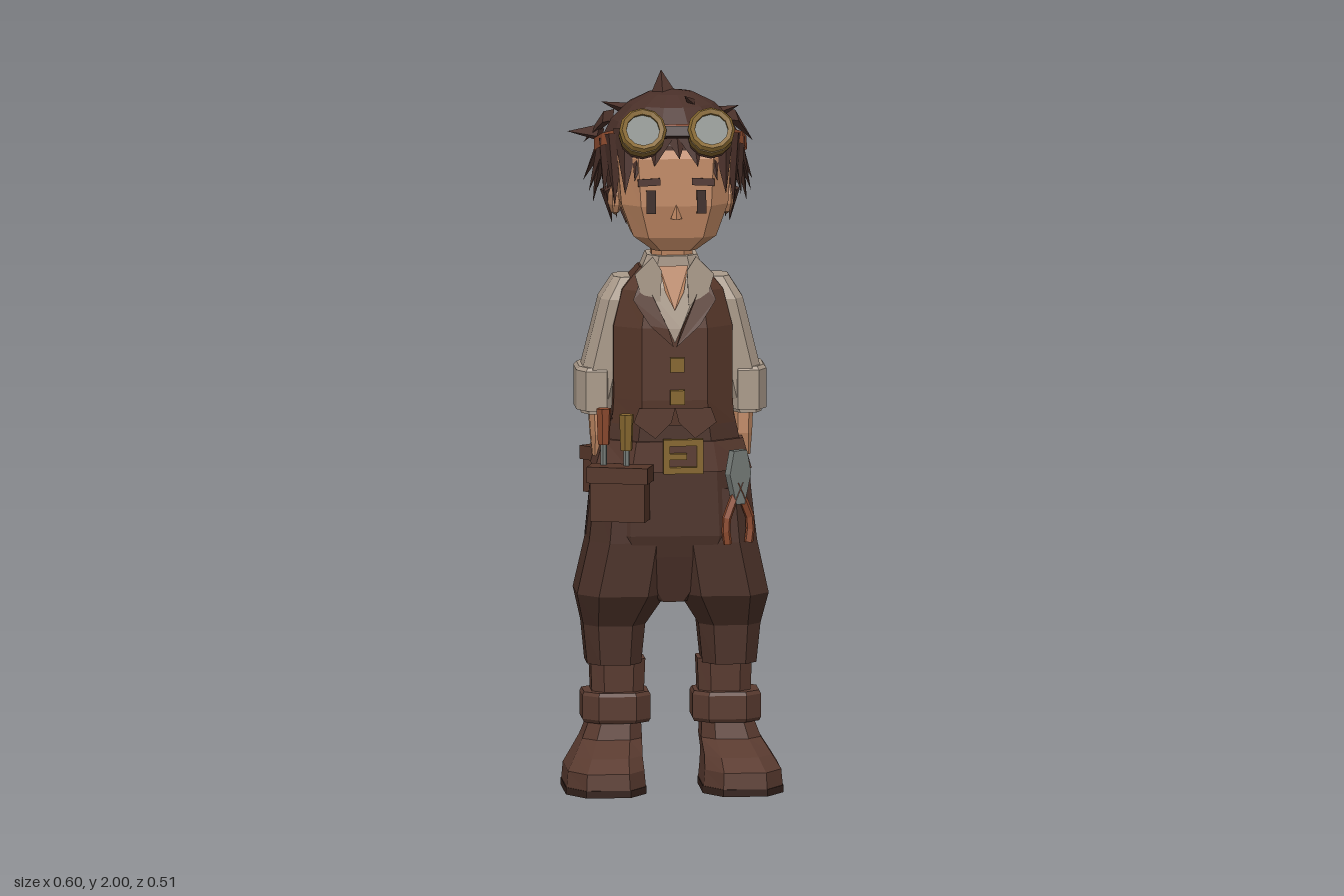
import * as THREE from 'three';

const mat = (name, color, side = THREE.FrontSide) => {
  const m = new THREE.MeshStandardMaterial({ color, flatShading: true, side });
  m.name = name;
  return m;
};

export function createModel() {
  const M = {
    hair: mat('hair brown', 0x4a3029, THREE.DoubleSide),
    skin: mat('skin', 0xb9835f),
    shirt: mat('linen', 0xab9b8b, THREE.DoubleSide),
    vest: mat('vest brown', 0x553629, THREE.DoubleSide),
    pants: mat('trouser brown', 0x4c3229),
    boot: mat('boot leather', 0x5a3b30),
    rust: mat('rust leather', 0x8c4a2e, THREE.DoubleSide),
    brass: mat('brass', 0x86672f),
    steel: mat('steel', 0x777d79),
    dark: mat('dark leather', 0x35221c),
  };
  const model = new THREE.Group();
  const V = (x, y, z) => new THREE.Vector3(x, y, z);

  const add = (name, geo, m, pos = [0, 0, 0], rot = [0, 0, 0], parent = model) => {
    const mesh = new THREE.Mesh(geo, m);
    mesh.name = name;
    mesh.position.set(...pos);
    mesh.rotation.set(...rot);
    parent.add(mesh);
    return mesh;
  };
  const box = (name, size, m, pos, rot, parent) => add(name, new THREE.BoxGeometry(...size), m, pos, rot, parent);
  const cyl = (name, r1, r2, h, n, m, pos, rot, parent) => add(name, new THREE.CylinderGeometry(r1, r2, h, n), m, pos, rot, parent);

  // Chamfered eight-sided loft; each ring is [y, centreX, centreZ, halfWidth, halfDepth]
  const loft = (name, rings, m, s = 1, k = 0.55) => {
    const oct = [[1, -k], [1, k], [k, 1], [-k, 1], [-1, k], [-1, -k], [-k, -1], [k, -1]];
    const p = [], idx = [], last = rings.length - 1;
    for (const [y, cx, cz, w, d] of rings) for (const [u, v] of oct) p.push(s * cx + u * w, y, cz + v * d);
    for (let r = 0; r < last; r++) for (let i = 0; i < 8; i++) {
      const a = r * 8 + i, b = r * 8 + (i + 1) % 8;
      idx.push(a, a + 8, b + 8, a, b + 8, b);
    }
    for (let i = 1; i < 7; i++) idx.push(0, i, i + 1, last * 8, last * 8 + i + 1, last * 8 + i);
    const g = new THREE.BufferGeometry();
    g.setAttribute('position', new THREE.Float32BufferAttribute(p, 3));
    g.setIndex(idx);
    g.computeVertexNormals();
    return add(name, g, m);
  };

  // Legs, boots and sleeves
  for (const s of [1, -1]) {
    const n = s > 0 ? 'left' : 'right';
    loft(n + 'Sole', [[0, 0.19, 0.03, 0.112, 0.182], [0.02, 0.19, 0.03, 0.112, 0.182]], M.dark, s);
    loft(n + 'Boot', [[0.02, 0.19, 0.03, 0.11, 0.18], [0.065, 0.19, 0.03, 0.106, 0.175], [0.1, 0.18, 0.005, 0.094, 0.145],
      [0.14, 0.165, -0.04, 0.083, 0.1], [0.2, 0.155, -0.04, 0.07, 0.085]], M.boot, s);
    loft(n + 'BootCuff', [[0.185, 0.153, -0.036, 0.09, 0.09], [0.195, 0.153, -0.036, 0.095, 0.096],
      [0.26, 0.153, -0.036, 0.095, 0.096], [0.27, 0.153, -0.036, 0.09, 0.09]], M.boot, s);
    loft(n + 'BootShaft', [[0.26, 0.148, -0.038, 0.072, 0.07], [0.36, 0.148, -0.038, 0.076, 0.075]], M.boot, s);
    loft(n + 'TrouserLeg', [[0.35, 0.16, -0.033, 0.075, 0.1], [0.46, 0.16, -0.033, 0.086, 0.105], [0.55, 0.142, -0.018, 0.124, 0.147],
      [0.7, 0.115, -0.006, 0.118, 0.138], [0.85, 0.108, -0.006, 0.108, 0.132]], M.pants, s);
    loft(n + 'Sleeve', [[1.05, 0.21, -0.04, 0.04, 0.085], [1.17, 0.192, -0.035, 0.056, 0.085], [1.37, 0.148, -0.03, 0.05, 0.08],
      [1.43, 0.12, -0.03, 0.04, 0.055]], M.shirt, s);
    loft(n + 'SleeveCuff', [[1.06, 0.211, -0.047, 0.053, 0.1], [1.17, 0.211, -0.047, 0.053, 0.1], [1.18, 0.209, -0.046, 0.047, 0.092]], M.shirt, s);
    loft(n + 'Hand', [[0.93, 0.205, -0.005, 0.014, 0.022], [0.99, 0.198, -0.015, 0.026, 0.04], [1.1, 0.2, -0.03, 0.03, 0.042]], M.skin, s);
    box(n + 'PocketEdge', [0.008, 0.2, 0.012], M.dark, [s * 0.222, 0.8, -0.06], [0, 0, s * 0.1]);
  }

  // Hips, belt and torso
  loft('hips', [[0.53, 0, -0.01, 0.05, 0.1], [0.66, 0, -0.005, 0.2, 0.13], [0.72, 0, -0.005, 0.226, 0.142], [0.9, 0, -0.005, 0.212, 0.138],
    [0.98, 0, -0.005, 0.185, 0.135], [1.06, 0, -0.003, 0.168, 0.13]], M.pants);
  loft('belt', [[0.9, 0, -0.004, 0.218, 0.144], [0.985, 0, -0.004, 0.194, 0.143]], M.boot);
  loft('vest', [[1.03, 0, 0, 0.17, 0.134], [1.1, 0, 0, 0.165, 0.136], [1.3, 0, -0.008, 0.165, 0.133],
    [1.4, 0, -0.012, 0.14, 0.117], [1.46, 0, -0.01, 0.09, 0.075]], M.vest);
  box('vestBackSeam', [0.012, 0.27, 0.006], M.dark, [0, 1.2, -0.14], [0.025, 0, 0]);

  // Thin panels that follow the slope of the chest
  const chestZ = y => (y < 1.3 ? 0.136 - (y - 1.1) * 0.055 : y < 1.4 ? 0.125 - (y - 1.3) * 0.2 : 0.105 - (y - 1.4) * 0.45);
  const panel = (name, pts, off, m) => {
    const g = new THREE.ShapeGeometry(new THREE.Shape(pts.map(p => new THREE.Vector2(...p))));
    const p = g.attributes.position;
    for (let i = 0; i < p.count; i++) p.setZ(i, chestZ(p.getY(i)) + off);
    g.computeVertexNormals();
    return add(name, g, m);
  };
  panel('shirtFront', [[0, 1.26], [0.018, 1.3], [0.066, 1.4], [0.08, 1.45], [-0.08, 1.45], [-0.066, 1.4], [-0.018, 1.3]], 0.01, M.shirt);
  panel('openNeck', [[0, 1.35], [0.026, 1.4], [0.04, 1.47], [-0.04, 1.47], [-0.026, 1.4]], 0.016, M.skin);
  for (const s of [1, -1]) {
    const mir = pts => pts.map(([x, y]) => [s * x, y]);
    panel('lapel', mir([[0.004, 1.25], [0.07, 1.31], [0.115, 1.38], [0.095, 1.43], [0.075, 1.42], [0.06, 1.39], [0.018, 1.3]]), 0.016, M.vest);
    panel('vestPoint', mir([[0, 1.08], [0.1, 1.08], [0.115, 1.04], [0.055, 0.995], [0.01, 1.04]]), 0.008, M.vest);
    const flap = new THREE.Shape(mir([[0.035, 1.46], [0.06, 1.5], [0.11, 1.45], [0.095, 1.4], [0.04, 1.36]]).map(p => new THREE.Vector2(...p)));
    add('collarFlap', new THREE.ExtrudeGeometry(flap, { depth: 0.008, bevelEnabled: false }), M.shirt, [0, 0, 0.112]);
  }
  for (const y of [1.2, 1.11]) box('button', [0.04, 0.04, 0.02], M.brass, [0.006, y, chestZ(y) + 0.012]);
  loft('collar', [[1.42, 0, -0.01, 0.1, 0.085], [1.495, 0, -0.005, 0.07, 0.078]], M.shirt);

  // Buckle
  const buckle = new THREE.Group();
  buckle.name = 'buckle';
  buckle.position.set(0.022, 0.945, 0.15);
  model.add(buckle);
  for (const s of [1, -1]) {
    box('buckleSide', [0.018, 0.095, 0.02], M.brass, [s * 0.046, 0, 0], undefined, buckle);
    box('buckleBar', [0.11, 0.018, 0.02], M.brass, [0, s * 0.039, 0], undefined, buckle);
  }
  box('bucklePin', [0.05, 0.016, 0.018], M.brass, [-0.015, 0, 0], undefined, buckle);

  // Two tool pouches, each holding two screwdrivers
  for (const [name, pos, ry] of [['frontPouch', [-0.155, 0.84, 0.163], -0.28], ['rearPouch', [-0.165, 0.87, -0.14], -2.5]]) {
    const g = new THREE.Group();
    g.name = name;
    g.position.set(...pos);
    g.rotation.y = ry;
    g.scale.setScalar(name === 'rearPouch' ? 0.85 : 1);
    model.add(g);
    box('pouchBody', [0.155, 0.13, 0.07], M.vest, [0, -0.005, 0], undefined, g);
    box('pouchFlap', [0.172, 0.045, 0.082], M.vest, [0, 0.06, 0], undefined, g);
    [[-0.048, M.rust, 0.19], [0.016, M.brass, 0.175]].forEach(([x, m, y]) => {
      cyl('toolShaft', 0.009, 0.009, 0.1, 6, M.steel, [x, y - 0.08, -0.012], undefined, g);
      cyl('toolHandle', 0.021, 0.017, 0.1, 6, m, [x, y, -0.012], undefined, g);
    });
  }

  // Pliers hung from the belt
  const pliers = new THREE.Group();
  pliers.name = 'pliers';
  pliers.position.set(0.175, 0.86, 0.142);
  pliers.rotation.y = 0.55;
  model.add(pliers);
  const jaw = [[-0.014, -0.05], [0.014, -0.05], [0.036, 0.035], [0.022, 0.1], [-0.022, 0.1], [-0.036, 0.035]];
  add('pliersJaw', new THREE.ExtrudeGeometry(new THREE.Shape(jaw.map(p => new THREE.Vector2(...p))), { depth: 0.024, bevelEnabled: false }),
    M.steel, [0, 0, -0.012], undefined, pliers);
  for (const s of [1, -1]) {
    const grip = new THREE.CatmullRomCurve3([V(-s * 0.008, 0.01, 0), V(s * 0.022, -0.05, 0), V(s * 0.042, -0.1, 0), V(s * 0.036, -0.16, 0)]);
    add('pliersGrip', new THREE.TubeGeometry(grip, 5, 0.013, 5), M.rust, undefined, undefined, pliers);
  }

  // Neck, head and face
  loft('neck', [[1.4, 0, 0, 0.06, 0.055], [1.58, 0, 0.01, 0.055, 0.05]], M.skin);
  loft('head', [[1.52, 0, 0.075, 0.06, 0.075], [1.56, 0, 0.055, 0.115, 0.118], [1.65, 0, 0.03, 0.148, 0.155],
    [1.78, 0, 0, 0.158, 0.17], [1.87, 0, 0, 0.13, 0.12]], M.skin, 1, 0.66);
  add('nose', new THREE.ConeGeometry(0.016, 0.04, 4), M.skin, [0, 1.635, 0.186]);
  for (const s of [1, -1]) {
    box('eye', [0.026, 0.065, 0.009], M.dark, [s * 0.07, 1.662, 0.184], [-0.1, 0, 0]);
    box('eyebrow', [0.062, 0.02, 0.009], M.hair, [s * 0.075, 1.717, 0.18], [-0.1, 0, s * -0.05]);
    add('ear', new THREE.SphereGeometry(1, 6, 5), M.skin, [s * 0.155, 1.645, -0.01]).scale.set(0.02, 0.045, 0.032);
  }

  // Hair cap and back
  add('hairCap', new THREE.SphereGeometry(1, 14, 5, 0, Math.PI * 2, 0, 1.65), M.hair, [0, 1.77, -0.02]).scale.set(0.198, 0.18, 0.187);
  add('hairBack', new THREE.CylinderGeometry(0.194, 0.165, 0.15, 10, 1, true, Math.PI / 2 + 0.1, Math.PI - 0.2), M.hair, [0, 1.695, -0.02]);

  // Flattened pointed lock from base to tip
  const lock = (b, t, w, d = 0.018) => {
    const base = V(...b), tip = V(...t), y = tip.clone().sub(base), len = y.length();
    y.normalize();
    const out = base.clone().sub(V(0, 1.74, -0.02));
    const x = new THREE.Vector3().crossVectors(y, out).normalize(), z = new THREE.Vector3().crossVectors(x, y);
    const g = new THREE.ConeGeometry(1, 1, 4).translate(0, 0.5, 0).scale(w, len, d);
    g.applyMatrix4(new THREE.Matrix4().makeBasis(x, y, z).setPosition(base));
    add('hairLock', g, M.hair);
  };
  // Nape fringe
  for (let i = 0; i <= 10; i++) {
    const a = (i / 10 - 0.5) * 2.9, r = 0.178;
    lock([Math.sin(a) * r, 1.67, -0.02 - Math.cos(a) * r], [Math.sin(a + 0.1) * 0.165, i % 2 ? 1.58 : 1.53 + Math.abs(a) * 0.03, -0.025 - Math.cos(a) * 0.15], 0.045);
    const q = 0.19;
    lock([Math.sin(a) * q, 1.78, -0.02 - Math.cos(a) * q], [Math.sin(a) * 0.215, i % 2 ? 1.66 : 1.63, -0.025 - Math.cos(a) * 0.2], 0.05);
  }
  // Side locks, temple locks and bangs
  for (const s of [1, -1]) {
    [[[0.13, 1.86, 0.12], [0.14, 1.68, 0.16], 0.05], [[0.165, 1.84, 0.08], [0.165, 1.64, 0.11], 0.05],
      [[0.185, 1.82, 0.03], [0.19, 1.66, 0.05], 0.055], [[0.185, 1.8, -0.03], [0.225, 1.66, -0.05], 0.06],
      [[0.18, 1.8, -0.09], [0.235, 1.68, -0.13], 0.055], [[0.17, 1.87, -0.06], [0.235, 1.79, -0.11], 0.05],
      [[0.09, 1.85, 0.14], [0.115, 1.72, 0.175], 0.04], [[0.14, 1.84, -0.13], [0.15, 1.77, -0.19], 0.05],
      [[0.045, 1.84, 0.15], [0.06, 1.76, 0.18], 0.04],
    ].forEach(([b, t, w]) => lock([s * b[0], b[1], b[2]], [s * t[0], t[1], t[2]], w));
  }
  // Loose tufts
  lock([-0.19, 1.82, -0.08], [-0.28, 1.82, -0.115], 0.035, 0.025);
  lock([0, 1.83, -0.18], [0, 1.74, -0.26], 0.075, 0.03);
  lock([-0.02, 1.92, -0.01], [-0.025, 2, -0.045], 0.045, 0.03);
  lock([0.06, 1.91, 0.03], [0.03, 1.945, 0.09], 0.03);
  lock([-0.12, 1.89, -0.05], [-0.19, 1.91, -0.06], 0.03);
  lock([0.0, 1.86, 0.14], [0.01, 1.78, 0.175], 0.04);
  lock([0.13, 1.88, -0.03], [0.19, 1.9, -0.03], 0.03);

  // Goggles and strap
  add('goggleStrap', new THREE.CylinderGeometry(0.212, 0.212, 0.035, 16, 1, true), M.rust, [0, 1.795, -0.028], [-0.32, 0, 0]);
  const goggles = new THREE.Group();
  goggles.name = 'goggles';
  goggles.position.set(0, 1.862, 0.205);
  goggles.rotation.x = -0.5;
  model.add(goggles);
  const turn = [Math.PI / 2, 0, 0];
  for (const s of [1, -1]) {
    const x = s * 0.095;
    cyl('goggleCup', 0.06, 0.062, 0.05, 12, M.boot, [x, 0, -0.025], turn, goggles);
    cyl('goggleBand', 0.065, 0.065, 0.03, 12, M.brass, [x, 0, -0.012], turn, goggles);
    add('goggleRim', new THREE.TorusGeometry(0.055, 0.011, 5, 12), M.brass, [x, 0, 0.012], undefined, goggles);
    cyl('goggleLens', 0.05, 0.05, 0.01, 12, M.steel, [x, 0, 0.004], turn, goggles);
  }
  box('goggleBridge', [0.08, 0.03, 0.02], M.dark, [0, 0, -0.005], undefined, goggles);
  return model;
}
